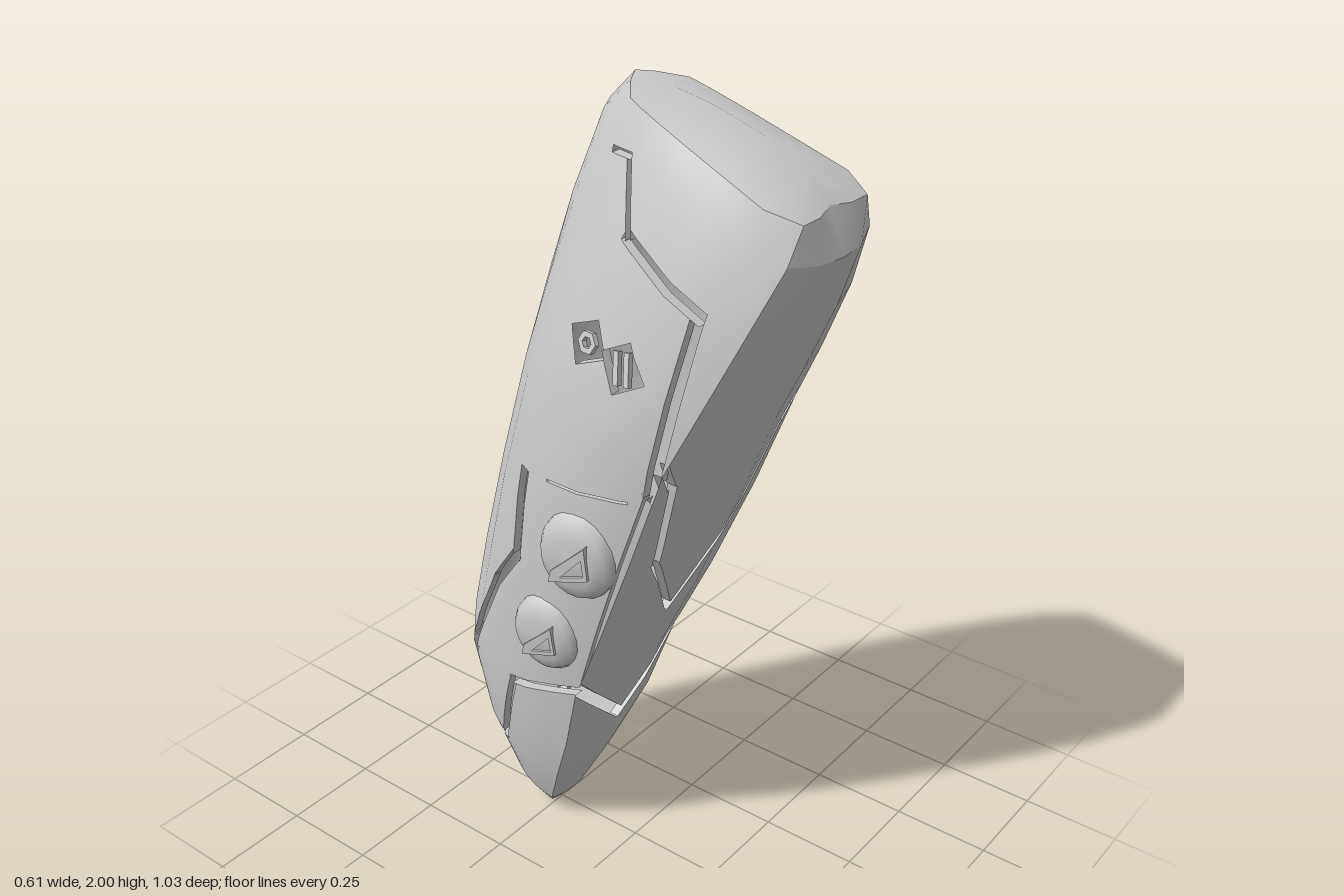
import * as THREE from 'three';

const grey = new THREE.MeshStandardMaterial({ color: 0xcccccc, side: THREE.DoubleSide });
grey.name = 'shellGrey';

// Sections from top to bottom: front z, y, back z, y, front half width, full half width, back fullness
const STATIONS = [
  [0.49, 1.81, 0.0, 2.0, 0.115, 0.15, 0],
  [0.515, 1.72, -0.065, 1.935, 0.15, 0.19, 0.4],
  [0.455, 1.57, -0.14, 1.75, 0.2, 0.237, 0.4],
  [0.37, 1.39, -0.20, 1.57, 0.232, 0.265, 0.6],
  [0.30, 1.25, -0.265, 1.37, 0.25, 0.28, 0.9],
  [0.205, 1.0, -0.35, 1.09, 0.24, 0.27, 0.9],
  [0.10, 0.75, -0.43, 0.82, 0.22, 0.24, 0.6],
  [0.0, 0.535, -0.49, 0.60, 0.195, 0.205, 0.4],
  [-0.06, 0.345, -0.515, 0.47, 0.165, 0.175, 0.4],
  [-0.135, 0.19, -0.475, 0.28, 0.125, 0.135, 0.4],
  [-0.21, 0.05, -0.40, 0.12, 0.075, 0.08, 0.5],
  [-0.255, 0.0, -0.32, 0.035, 0.03, 0.035, 0.5],
  [-0.285, 0.012, -0.29, 0.014, 0.002, 0.002, 0.5],
];

// Half section as [x, y, z], front centre to back centre; index 2 is the front edge
function section([fz, fy, bz, by, a, w, full], i) {
  const body = [[0, 0], [0.012, a * 0.5], [0.06, a], [0.18, a * 0.35 + w * 0.65], [0.35, w],
    [0.55, w * (0.89 + 0.05 * full)], [0.68, w * (0.76 + 0.08 * full)], [0.8, w * (0.62 + 0.06 * full)],
    [0.9, w * 0.46], [0.96, w * 0.27], [1, 0]];
  const rim = [[0.03, 0], [0, a * 0.5], [0, a], [0.14, w], [0.35, 0.138],
    [0.55, 0.126], [0.68, 0.117], [0.8, 0.107], [0.87, 0.098], [0.96, 0.04], [1, 0]];
  return (i === 0 ? rim : body).map(([t, x]) => [x, fy + (by - fy) * t, fz + (bz - fz) * t]);
}

// Smooth indexed surface through rows of points
function grid(rows) {
  const n = rows[0].length, index = [];
  for (let i = 0; i < rows.length - 1; i++) {
    for (let j = 0; j < n - 1; j++) {
      const p = i * n + j;
      index.push(p, p + n, p + 1, p + 1, p + n, p + n + 1);
    }
  }
  const geo = new THREE.BufferGeometry();
  geo.setAttribute('position', new THREE.Float32BufferAttribute(rows.flat(2), 3));
  geo.setIndex(index);
  geo.computeVertexNormals();
  return geo;
}

// Flatten normals on the middle line so both halves meet smoothly
function smoothCentre(geo) {
  const p = geo.attributes.position, n = geo.attributes.normal, v = new THREE.Vector3();
  for (let i = 0; i < p.count; i++) {
    if (Math.abs(p.getX(i)) > 1e-6) continue;
    v.fromBufferAttribute(n, i).setX(0).normalize();
    n.setXYZ(i, v.x, v.y, v.z);
  }
  return geo;
}

// A slot along a path: each leg is four half-plane tests (two long sides, two ends)
function slot(width, path, axis) {
  return path.slice(1).map((b, i) => {
    const a = path[i], h = width / 2, e = width * 0.4;
    const len = Math.hypot(b[0] - a[0], b[1] - a[1]);
    const tx = (b[0] - a[0]) / len, ty = (b[1] - a[1]) / len;
    const along = v => (v[axis] - a[0]) * tx + (v[1] - a[1]) * ty;
    const across = v => (v[1] - a[1]) * tx - (v[axis] - a[0]) * ty;
    return [v => h - across(v), v => h + across(v), v => along(v) + e, v => len + e - along(v)];
  });
}

// Split a convex polygon by a signed test
function split(poly, test) {
  const inside = [], outside = [];
  poly.forEach((a, i) => {
    const b = poly[(i + 1) % poly.length], da = test(a), db = test(b);
    if (da >= 0) inside.push(a);
    if (da <= 0) outside.push(a);
    if (da * db < 0) {
      const m = a.map((c, k) => c + (b[k] - c) * da / (da - db));
      inside.push(m);
      outside.push(m);
    }
  });
  return [inside, outside];
}

// Cut slots through a surface and give their long sides walls along the inward direction
function carve(geo, legs, inward) {
  const src = geo.toNonIndexed(), p = src.attributes.position, n = src.attributes.normal;
  const pos = [], nor = [];
  const emit = poly => {
    for (let k = 1; k < poly.length - 1; k++) {
      for (const v of [poly[0], poly[k], poly[k + 1]]) {
        pos.push(v[0], v[1], v[2]);
        nor.push(v[3], v[4], v[5]);
      }
    }
  };
  const wall = (a, b) => {
    const A = new THREE.Vector3(...a), B = new THREE.Vector3(...b);
    const m = B.clone().sub(A).cross(inward).normalize();
    emit([A, B, B.clone().add(inward), A.clone().add(inward)].map(v => [...v.toArray(), ...m.toArray()]));
  };
  for (let i = 0; i < p.count; i += 3) {
    let pieces = [[0, 1, 2].map(k => [p.getX(i + k), p.getY(i + k), p.getZ(i + k),
      n.getX(i + k), n.getY(i + k), n.getZ(i + k)])];
    for (const tests of legs) {
      pieces = pieces.flatMap(poly => {
        let rest = poly;
        const kept = [];
        for (const test of tests) {
          const [inside, outside] = split(rest, test);
          if (outside.length > 2) kept.push(outside);
          rest = inside;
          if (rest.length < 3) return [poly];
        }
        rest.forEach((a, k) => {
          const b = rest[(k + 1) % rest.length];
          if ([0, 1].some(s => Math.abs(tests[s](a)) < 1e-6 && Math.abs(tests[s](b)) < 1e-6)) wall(b, a);
        });
        return kept;
      });
    }
    pieces.forEach(emit);
  }
  const out = new THREE.BufferGeometry();
  out.setAttribute('position', new THREE.Float32BufferAttribute(pos, 3));
  out.setAttribute('normal', new THREE.Float32BufferAttribute(nor, 3));
  return out;
}

// Mirror across x = 0, keeping faces outward
function mirror(geo) {
  const g = geo.index ? geo.toNonIndexed() : geo.clone();
  g.scale(-1, 1, 1);
  for (const { array: a } of [g.attributes.position, g.attributes.normal]) {
    for (let i = 0; i < a.length; i += 9) {
      for (let k = 3; k < 6; k++) [a[i + k], a[i + k + 3]] = [a[i + k + 3], a[i + k]];
    }
  }
  return g;
}

const polygon = (Kind, pts) => new Kind(pts.map(q => new THREE.Vector2(...q)));

export function createModel() {
  const model = new THREE.Group();
  model.name = 'tiltedPod';
  const add = (name, geo) => {
    const mesh = new THREE.Mesh(geo, grey);
    mesh.name = name;
    model.add(mesh);
  };
  const addPair = (name, geo) => {
    add(name + 'Left', geo);
    add(name + 'Right', mirror(geo));
  };

  // Shell sides with open slots and two square windows, paths in (z, y)
  const rows = STATIONS.map(section);
  const side = grid(rows.map(r => r.slice(2)));
  const sideSlots = [
    slot(0.014, [[0.045, 1.875], [0.095, 1.875], [0.135, 1.73]], 2),
    slot(0.03, [[0.135, 1.73], [0.33, 1.62], [0.235, 1.2], [0.32, 1.28]], 2),
    slot(0.03, [[-0.13, 1.13], [-0.17, 0.9], [-0.275, 0.77], [-0.45, 0.48], [-0.44, 0.34], [-0.51, 0.29]], 2),
    slot(0.024, [[0.02, 0.572], [-0.24, 0.49], [-0.34, 0.235], [-0.45, 0.16]], 2),
    slot(0.006, [[0.18, 1.17], [-0.04, 1.15]], 2),
    slot(0.006, [[0.225, 1.2], [0.0, 0.6]], 2),
    slot(0.085, [[0.17, 1.465], [0.16, 1.485]], 2),
    slot(0.08, [[0.074, 1.505], [0.05, 1.495]], 2),
  ].flat();
  addPair('sideShell', carve(side, sideSlots, new THREE.Vector3(-0.025, 0, 0)));

  // Front face with two V-shaped slots, paths in (x, y), and a bevel above it
  const front = rows.map(r => r.slice(0, 3));
  const frontSlots = [
    slot(0.02, [[0, 0.745], [0.15, 0.96], [0.2, 1.2], [0.26, 1.29]], 0),
    slot(0.03, [[0, 0.37], [0.12, 0.485], [0.21, 0.575]], 0),
  ].flat();
  addPair('frontShell', carve(smoothCentre(grid(front.slice(1))), frontSlots, new THREE.Vector3(0, 0, -0.025)));
  addPair('browBevel', smoothCentre(grid(front.slice(0, 2))));

  // Domed cap from a middle ridge to the upper rim
  const rim = rows[0];
  const ridge = rim.map(([, y, z], j) => {
    const t = Math.max(0, 1 - z / 0.49);
    return j < 3 ? rim[0] : [0, y + 0.047 * Math.sin(Math.PI * t ** 0.7), z];
  });
  addPair('topCap', smoothCentre(grid([ridge, rim])));

  // Small foot at the lower tip
  add('tipKnob', new THREE.SphereGeometry(0.033, 12, 8).translate(0, 0.095, -0.347));

  // Seat a part on the left side at (z, y), its local z facing outward
  const sideMesh = new THREE.Mesh(side, grey);
  const onSide = (geo, z, y) => {
    const ray = new THREE.Raycaster(new THREE.Vector3(1, y, z), new THREE.Vector3(-1, 0, 0));
    const hit = ray.intersectObject(sideMesh)[0], seat = new THREE.Object3D();
    seat.lookAt(hit.face.normal);
    seat.position.copy(hit.point);
    seat.updateMatrix();
    return geo.applyMatrix4(seat.matrix);
  };

  // Extruded plate with an opening in the middle
  const frame = (pts, hole, depth) => {
    const shape = polygon(THREE.Shape, pts);
    shape.holes.push(polygon(THREE.Path, hole));
    return new THREE.ExtrudeGeometry(shape, { depth, bevelEnabled: false });
  };

  // Oval side knobs, each with a raised triangular frame
  const dome = [[0.1, -0.03], [0.097, 0.0], [0.085, 0.018], [0.055, 0.03], [0, 0.035]];
  const corners = [[-0.05, 0.065], [-0.05, -0.025], [0.06, -0.065], [0.05, -0.03]];
  const opening = [[-0.039, 0.03], [-0.039, -0.017], [0.025, -0.04]];
  for (const [size, z, y] of [[1, 0.04, 0.985], [0.92, -0.085, 0.715]]) {
    const knob = new THREE.LatheGeometry(dome.map(q => new THREE.Vector2(...q)), 20);
    knob.rotateX(Math.PI / 2).scale(size, size * 1.2, size).rotateZ(0.25);
    addPair('sideKnob', onSide(knob, z, y));
    addPair('knobFrame', onSide(frame(corners, opening, 0.038).scale(size, size, size), z, y));
  }

  // Window fittings: twin bars in one, a hexagonal ring in the other
  for (const x of [-0.015, 0.015]) {
    addPair('windowBar', onSide(new THREE.BoxGeometry(0.014, 0.072, 0.012).translate(x, 0, -0.006).rotateZ(-0.15), 0.165, 1.475));
  }
  const hexagon = r => [0, 1, 2, 3, 4, 5].map(k => [r * Math.cos(k * Math.PI / 3), r * Math.sin(k * Math.PI / 3)]);
  addPair('windowRing', onSide(frame(hexagon(0.026), hexagon(0.013), 0.012).translate(0, 0, -0.012), 0.062, 1.5));

  return model;
}
